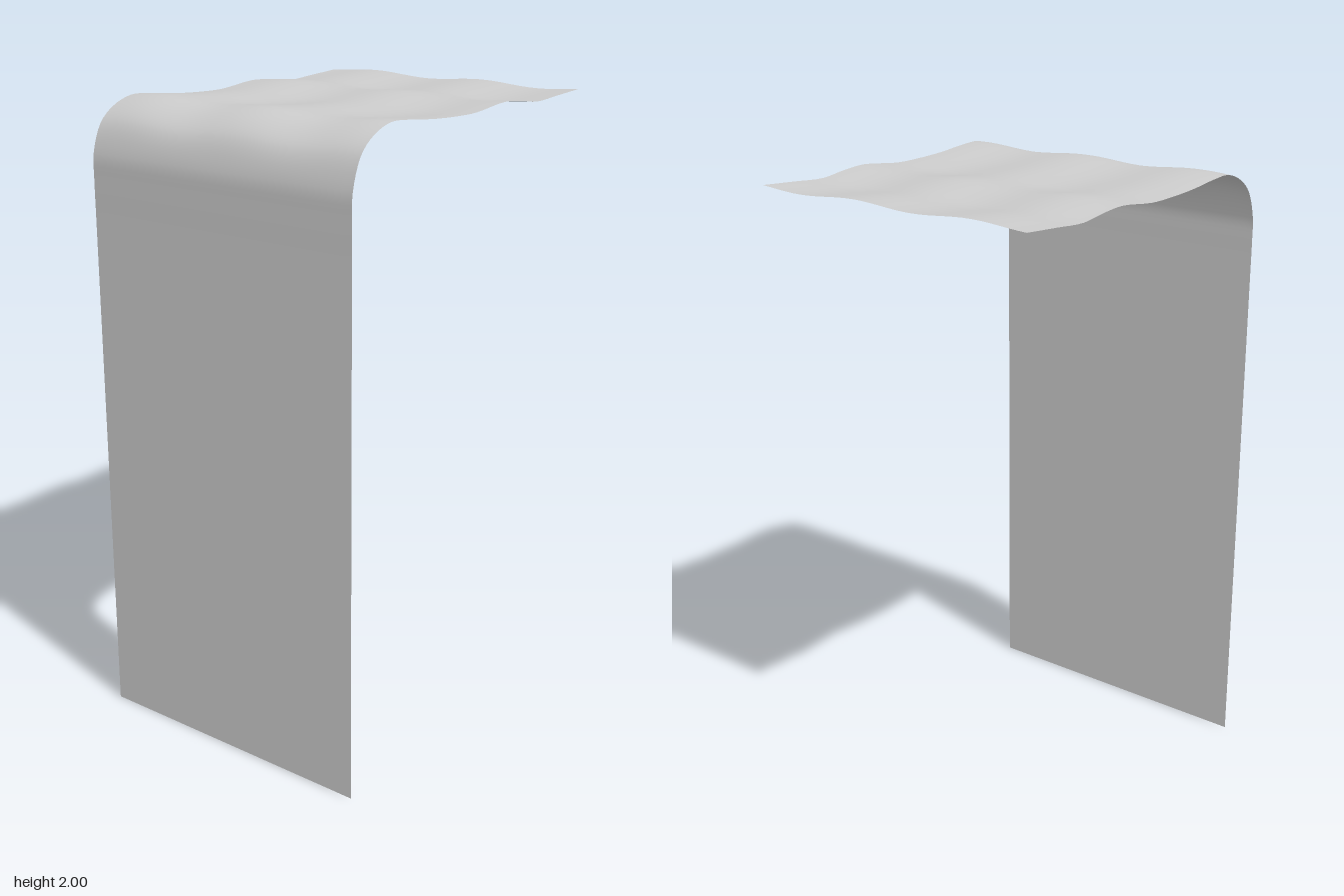
import * as THREE from 'three';

// Sheet profile as (z, y): up the front drop, over the bend, back along the ripples
const PROFILE = [
  [0.576, 0], [0.576, 0.6], [0.576, 1.2], [0.576, 1.65], [0.576, 1.76], [0.573, 1.835], [0.54, 1.92],
  [0.485, 1.966], [0.41, 1.992], [0.33, 1.99], [0.22, 1.979], [0.1, 1.973], [0, 1.973],
  [-0.15, 1.988], [-0.24, 1.982], [-0.33, 1.971], [-0.45, 1.978], [-0.576, 1.986],
];

export function createModel() {
  const group = new THREE.Group();
  const curve = new THREE.CatmullRomCurve3(PROFILE.map(([z, y]) => new THREE.Vector3(0, y, z)));

  // Bend a flat grid along the profile and add gentle cross ripples on the top
  const geometry = new THREE.PlaneGeometry(0.988, 1, 32, (PROFILE.length - 1) * 4);
  const pos = geometry.attributes.position;
  for (let i = 0; i < pos.count; i++) {
    const x = pos.getX(i);
    const p = curve.getPoint(THREE.MathUtils.clamp(pos.getY(i) + 0.5, 0, 1));
    const fade = THREE.MathUtils.smoothstep(p.y, 1.85, 1.97);
    const ripple = 0.006 * Math.cos((2 * Math.PI * (x + 0.35)) / 0.43 + p.z * 1.2);
    pos.setXYZ(i, x, p.y + ripple * fade, p.z);
  }
  geometry.computeVertexNormals();

  const sheet = new THREE.Mesh(
    geometry,
    new THREE.MeshStandardMaterial({ color: 0xcccccc, side: THREE.DoubleSide })
  );
  sheet.name = 'waterfallSheet';
  group.add(sheet);
  return group;
}
